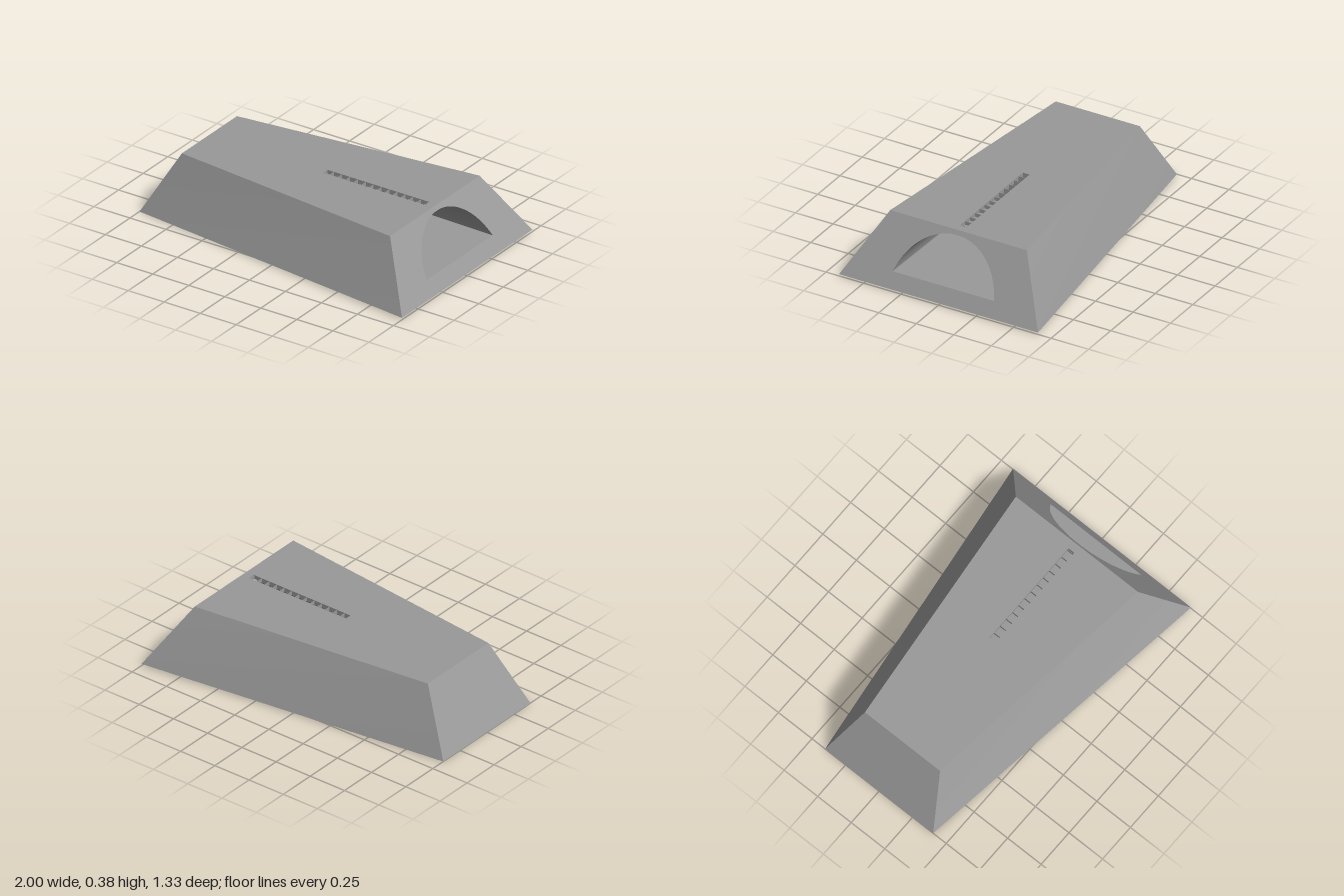
import * as THREE from 'three';

const material = new THREE.MeshStandardMaterial({ color: 0x999999, side: THREE.DoubleSide });
const TOP = 0.385, CEIL = 0.36;
const SLOT = { x0: 0.015, x1: 0.725, z: 0.0225 };

// x of the sloping mouth face at height y
const mouthX = (y) => 1 - ((y - 0.012) * 0.225) / (TOP - 0.012);

function addMesh(group, name, geometry) {
  const mesh = new THREE.Mesh(geometry, material);
  mesh.name = name;
  group.add(mesh);
  return mesh;
}

// four-cornered panel, corners counter-clockwise from its front
function panel(a, b, c, d) {
  const g = new THREE.BufferGeometry();
  g.setAttribute('position', new THREE.Float32BufferAttribute([a, b, c, d].flat(), 3));
  g.setIndex([0, 1, 2, 0, 2, 3]);
  g.computeVertexNormals();
  return g;
}

// flat shape whose points are moved into place by a rule
function placedShape(outline, hole, place) {
  const shape = new THREE.Shape(outline.map(([x, y]) => new THREE.Vector2(x, y)));
  if (hole) shape.holes.push(new THREE.Path(hole.map(([x, y]) => new THREE.Vector2(x, y))));
  const g = new THREE.ShapeGeometry(shape);
  const p = g.attributes.position;
  for (let i = 0; i < p.count; i++) p.setXYZ(i, ...place(p.getX(i), p.getY(i)));
  g.computeVertexNormals();
  return g;
}

// half of a circular arch, from the slot edge down to the floor, as [z, y]
function halfArch(halfWidth, base, steps = 24) {
  const h = CEIL - base;
  const r = (halfWidth ** 2 + h ** 2) / (2 * h);
  const start = Math.asin(SLOT.z / r);
  const end = Math.acos((r - h) / r);
  return Array.from({ length: steps + 1 }, (_, i) => {
    const a = start + ((end - start) * i) / steps;
    return [r * Math.sin(a), CEIL - r + r * Math.cos(a)];
  });
}

// tapering side of the tunnel between two half arches
function tunnelSide(front, back, side) {
  const pos = [], idx = [];
  front.forEach(([z, y], i) => {
    pos.push(mouthX(y), y, side * z, 0, back[i][1], side * back[i][0]);
    if (i === 0) return;
    const a = 2 * (i - 1);
    if (side > 0) idx.push(a, a + 2, a + 1, a + 1, a + 2, a + 3);
    else idx.push(a, a + 1, a + 2, a + 1, a + 3, a + 2);
  });
  const g = new THREE.BufferGeometry();
  g.setAttribute('position', new THREE.Float32BufferAttribute(pos, 3));
  g.setIndex(idx);
  g.computeVertexNormals();
  return g;
}

export function createModel() {
  const model = new THREE.Group();
  model.name = 'taperedHousing';

  // corners: bottom and top of the narrow and wide ends, s picks the side
  const bl = (s) => [-1, 0, s * 0.403];
  const br = (s) => [1, 0.012, s * 0.663];
  const tl = (s) => [-0.79, TOP, s * 0.28];
  const tr = (s) => [0.775, TOP, s * 0.455];

  // outer walls and base
  addMesh(model, 'frontWall', panel(bl(1), br(1), tr(1), tl(1)));
  addMesh(model, 'backWall', panel(br(-1), bl(-1), tl(-1), tr(-1)));
  addMesh(model, 'narrowEndWall', panel(bl(-1), bl(1), tl(1), tl(-1)));
  addMesh(model, 'base', panel(bl(-1), br(-1), br(1), bl(1)));

  // roof with a long slot
  const { x0, x1, z: w } = SLOT;
  addMesh(model, 'roof', placedShape(
    [[-0.79, -0.28], [0.775, -0.455], [0.775, 0.455], [-0.79, 0.28]],
    [[x0, -w], [x0, w], [x1, w], [x1, -w]],
    (x, u) => [x, TOP, -u]));

  // wide end wall with the arched mouth
  const front = halfArch(0.337, 0.1), back = halfArch(0.26, 0.165);
  const arch = (half) => [...half.map(([z, y]) => [-z, y]).reverse(), ...half];
  addMesh(model, 'mouthWall', placedShape(
    [[-0.663, 0.012], [0.663, 0.012], [0.455, TOP], [-0.455, TOP]],
    arch(front), (u, y) => [mouthX(y), y, -u]));

  // tunnel behind the mouth
  const tunnel = new THREE.Group();
  tunnel.name = 'tunnel';
  model.add(tunnel);
  for (const s of [1, -1]) addMesh(tunnel, 'tunnelSide', tunnelSide(front, back, s));
  addMesh(tunnel, 'tunnelEnd', placedShape(arch(back), null, (u, y) => [0, y, -u]));
  addMesh(tunnel, 'tunnelFloor', panel(
    [0, 0.165, 0.26], [mouthX(0.1), 0.1, 0.337], [mouthX(0.1), 0.1, -0.337], [0, 0.165, -0.26]));
  for (const [a, b] of [[0, x0], [x1, mouthX(CEIL)]]) {
    addMesh(tunnel, 'tunnelCeiling', panel([a, CEIL, -w], [b, CEIL, -w], [b, CEIL, w], [a, CEIL, w]));
  }

  // slot walls
  const slot = new THREE.Group();
  slot.name = 'slot';
  model.add(slot);
  const rim = [[x0, w], [x0, -w], [x1, -w], [x1, w]];
  rim.forEach(([x, z], i) => {
    const [nx, nz] = rim[(i + 1) % 4];
    addMesh(slot, 'slotWall', panel([x, CEIL, z], [nx, CEIL, nz], [nx, TOP, nz], [x, TOP, z]));
  });

  // thin upright fins across the slot
  for (let i = 0; i < 13; i++) {
    addMesh(slot, 'slotFin', new THREE.BoxGeometry(0.003, TOP - CEIL - 0.002, 2 * w))
      .position.set(0.059 + i * 0.0549, (TOP + CEIL) / 2 - 0.001, 0);
  }
  return model;
}
